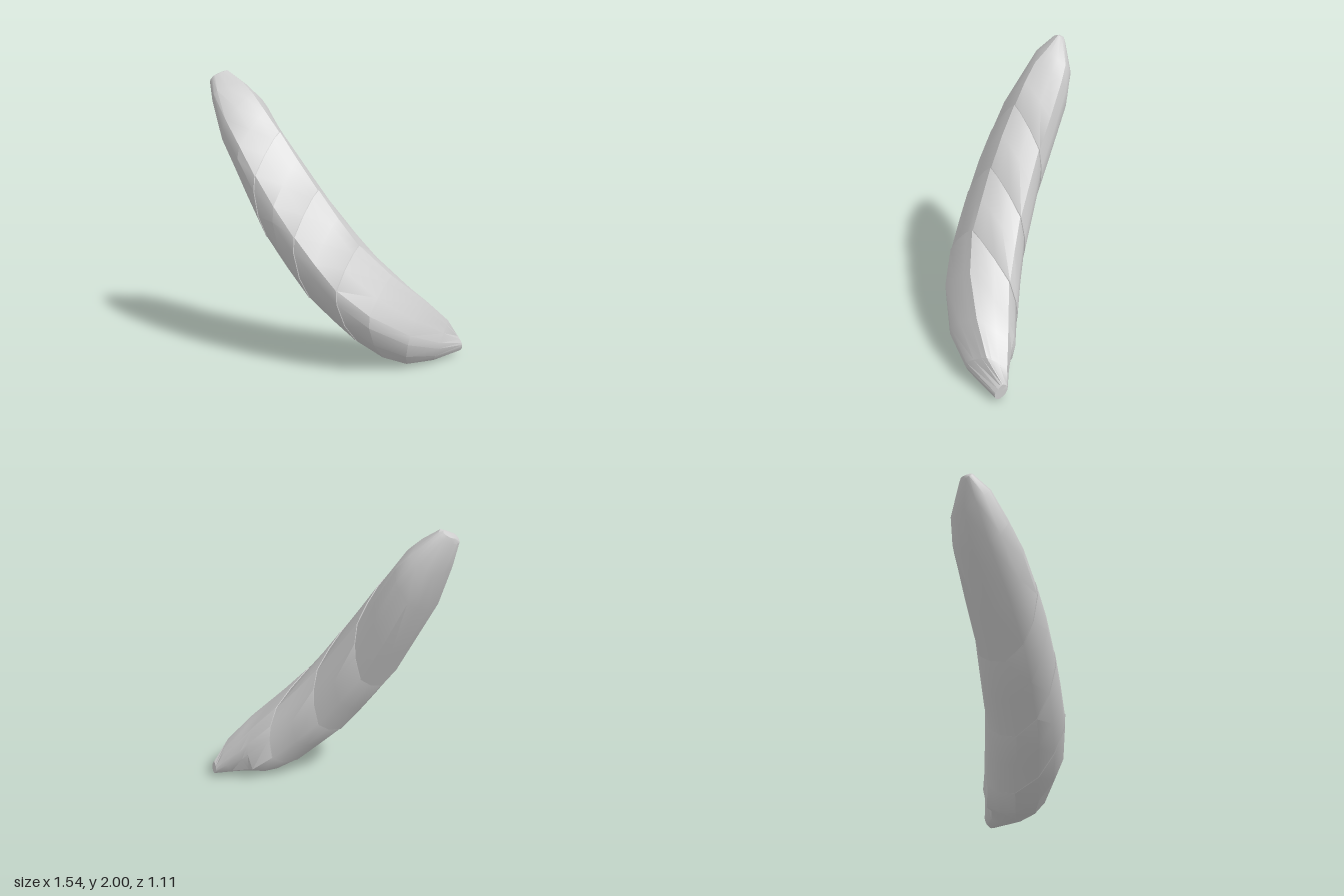
import * as THREE from 'three';
import { toCreasedNormals } from 'three/addons/utils/BufferGeometryUtils.js';

// Cross-section as [across, up]: ridge, front side, underside, then the fuller back side
const outline = [
  [0, 1], [0.22, 0.89], [0.58, 0.63], [0.93, 0.31], [0.98, 0.05], [0.84, -0.4], [0.54, -0.79],
  [0, -1], [-0.42, -0.92], [-0.78, -0.75], [-0.97, -0.32], [-1, -0.05], [-0.92, 0.31], [-0.58, 0.63], [-0.22, 0.89],
];

// Stations along the fruit: centre c, ridge direction u, front direction v
const S = (c, u, v) => ({ c: new THREE.Vector3(...c), u: new THREE.Vector3(...u), v: new THREE.Vector3(...v) });
const blossomCap = S([-0.738, 1.97, 0.335], [0.03, 0.025, -0.02], [-0.005, -0.005, 0.04]);
const blossomTip = S([-0.73, 1.955, 0.335], [0.045, 0.045, -0.03], [-0.01, 0, 0.065]);
const blossom1 = S([-0.635, 1.82, 0.305], [0.085, 0.1, -0.01], [-0.02, 0.015, 0.175]);
const blossom2 = S([-0.53, 1.65, 0.305], [0.08, 0.2, 0], [0, -0.035, 0.225]);
const blossom3 = S([-0.37, 1.415, 0.3], [0.03, 0.315, 0], [0, 0, 0.253]);
const cutA = S([-0.225, 1.205, 0.285], [0, 0.39, 0], [0, 0, 0.267]);
const midAB = S([-0.08, 1.01, 0.245], [0, 0.4, 0.02], [0, 0, 0.287]);
const cutB = S([0.065, 0.815, 0.195], [0, 0.405, 0.035], [0, 0, 0.297]);
const midBC = S([0.2, 0.65, 0.125], [0, 0.385, 0.06], [0, 0, 0.315]);
const cutC = S([0.335, 0.49, 0.045], [0, 0.372, 0.09], [0, 0, 0.332]);
const stem1 = S([0.485, 0.335, -0.075], [0.015, 0.315, 0.06], [0.02, 0, 0.33]);
const stem2 = S([0.595, 0.225, -0.205], [0.04, 0.225, -0.02], [0.07, -0.03, 0.238]);
const stem3 = S([0.688, 0.14, -0.368], [0.03, 0.135, -0.04], [0.064, -0.02, 0.15]);
const stemTip = S([0.722, 0.075, -0.547], [-0.01, 0.055, -0.003], [0.047, -0.012, 0.014]);

// At a cut each slice has a rim beside the cut and a sunken loop on it, so two slices form a groove
const GAP = 0.004;
const rim = (s, dx) => ({ ...s, c: s.c.clone().add(new THREE.Vector3(dx, 0, 0)) });
const sunk = (s) => ({ c: s.c, u: s.u.clone().multiplyScalar(0.97), v: s.v.clone().multiplyScalar(0.97) });
const startAt = (s) => [sunk(s), rim(s, GAP)];
const endAt = (s) => [rim(s, -GAP), sunk(s)];

// Skin the loops of one slice and close both ends
function sliceGeometry(stations) {
  const n = outline.length;
  const pos = [];
  const index = [];
  for (const s of stations) {
    for (const [v, u] of outline) {
      const p = s.c.clone().addScaledVector(s.u, u).addScaledVector(s.v, v);
      pos.push(p.x, p.y, p.z);
    }
  }
  const last = stations.length - 1;
  const first = stations.length * n;
  for (const s of [stations[0], stations[last]]) pos.push(s.c.x, s.c.y, s.c.z);
  for (let i = 0; i < n; i++) {
    const j = (i + 1) % n;
    for (let k = 0; k < last; k++) {
      const a = k * n + i, b = k * n + j;
      index.push(a, b, a + n, b, b + n, a + n);
    }
    index.push(first, j, i);
    index.push(first + 1, last * n + i, last * n + j);
  }
  const geo = new THREE.BufferGeometry();
  geo.setAttribute('position', new THREE.Float32BufferAttribute(pos, 3));
  geo.setIndex(index);
  return toCreasedNormals(geo, 0.6);
}

export function createModel() {
  const group = new THREE.Group();
  group.name = 'slicedBanana';
  const peel = new THREE.MeshStandardMaterial({ color: 0xcccccc });

  // Four slices, parted by upright cuts across x
  const slices = {
    blossomEnd: [blossomCap, blossomTip, blossom1, blossom2, blossom3, ...endAt(cutA)],
    upperSlice: [...startAt(cutA), midAB, ...endAt(cutB)],
    lowerSlice: [...startAt(cutB), midBC, ...endAt(cutC)],
    stemEnd: [...startAt(cutC), stem1, stem2, stem3, stemTip],
  };
  for (const [name, stations] of Object.entries(slices)) {
    const mesh = new THREE.Mesh(sliceGeometry(stations), peel);
    mesh.name = name;
    group.add(mesh);
  }
  return group;
}
